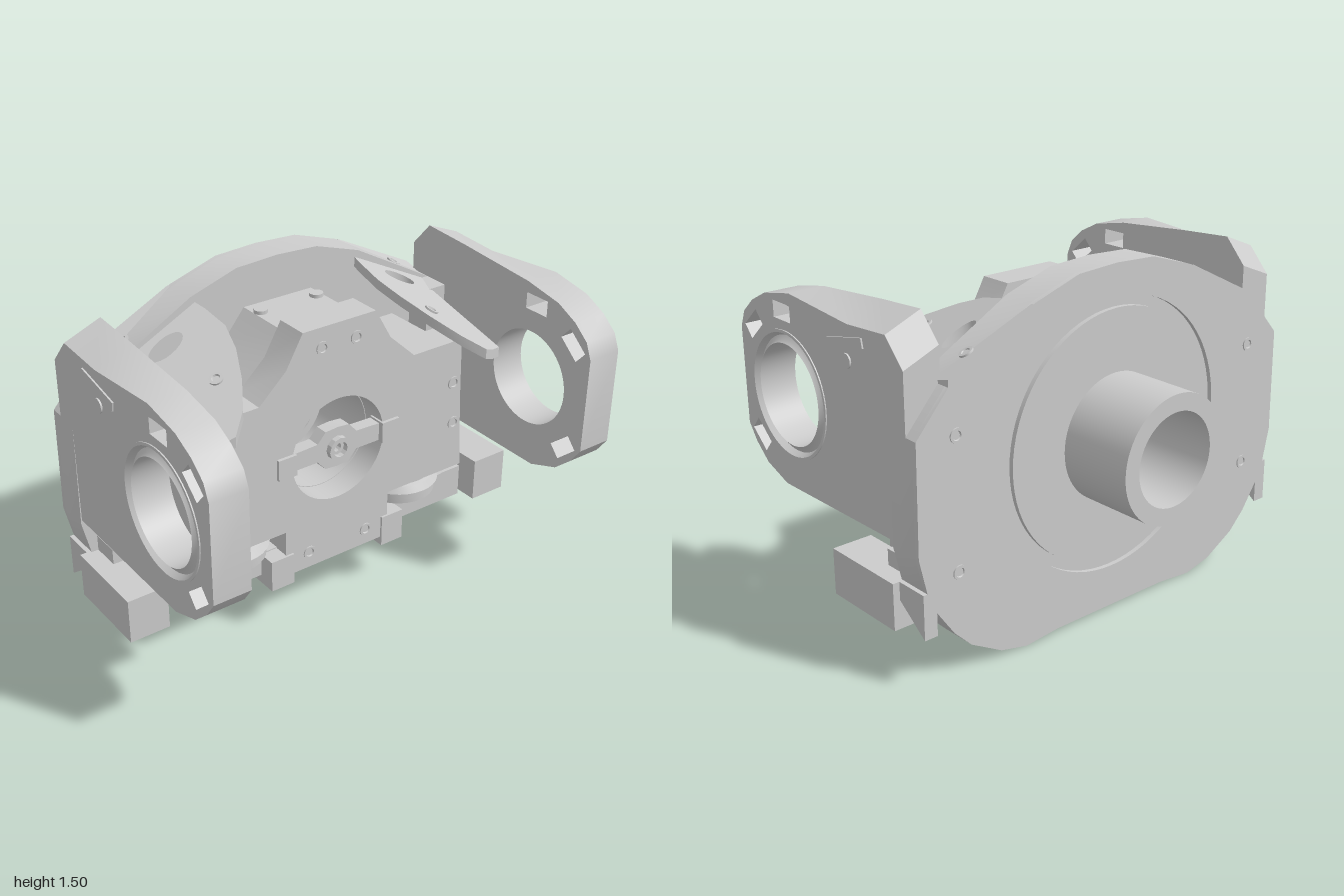
import * as THREE from 'three';
import { toCreasedNormals } from 'three/addons/utils/BufferGeometryUtils.js';

const material = new THREE.MeshStandardMaterial({ color: 0xcccccc });
const V = (pts) => pts.map(([x, y]) => new THREE.Vector2(x, y));
const circle = (cx, cy, r, n = 48) =>
  Array.from({ length: n }, (_, i) => {
    const a = (i / n) * Math.PI * 2;
    return [cx + r * Math.cos(a), cy + r * Math.sin(a)];
  });
const rect = (cx, cy, w, h, turn = 0) =>
  [[-1, -1], [1, -1], [1, 1], [-1, 1]].map(([i, j]) => {
    const u = (i * w) / 2, v = (j * h) / 2, c = Math.cos(turn), s = Math.sin(turn);
    return [cx + u * c - v * s, cy + u * s + v * c];
  });
const mirrored = (half) => [...half, ...half.filter((p) => p[0] > 0).reverse().map(([x, y]) => [-x, y])];

// Extrusion of an outline with holes, from z0 to z1
function slab(outline, holes, z0, z1) {
  const shape = new THREE.Shape(V(outline));
  shape.holes = holes.map((h) => new THREE.Path(V(h)));
  return new THREE.ExtrudeGeometry(shape, { depth: z1 - z0, bevelEnabled: false }).translate(0, 0, z0);
}
function box(x0, x1, y0, y1, z0, z1) {
  return new THREE.BoxGeometry(x1 - x0, y1 - y0, z1 - z0).translate((x0 + x1) / 2, (y0 + y1) / 2, (z0 + z1) / 2);
}
const lathe = (pts, n = 64) => new THREE.LatheGeometry(V(pts), n);

export function createModel() {
  const model = new THREE.Group();
  const add = (name, geometry, parent = model) => {
    const mesh = new THREE.Mesh(toCreasedNormals(geometry, 0.5), material);
    mesh.name = name;
    parent.add(mesh);
    return mesh;
  };
  // Recessed-looking screw: a thin collar with a sunken head, facing +z or -z
  const screw = (name, x, y, z, dir = 1, r = 0.03) => {
    const g = lathe([[r, -0.02], [r, 0.006], [r * 0.65, 0.006], [r * 0.5, -0.004], [0, -0.004]], 20);
    add(name, g.rotateX((dir * Math.PI) / 2).translate(x, y, z));
  };

  // Back plate, with a shallow ring groove on its rear face
  const plateOutline = mirrored([
    [0, 1.5], [0.2, 1.49], [0.42, 1.42], [0.82, 1.2], [0.98, 1.02], [0.985, 0.56], [0.94, 0.36],
    [0.83, 0.2], [0.75, 0.12], [0.6, 0.035], [0.47, 0.005], [0.3, 0.02],
  ]);
  const cy = 0.785;
  add('backPlate', slab(plateOutline, [circle(0, cy, 0.2)], -0.4, -0.26));
  add('backPlateRim', slab(plateOutline, [circle(0, cy, 0.58, 72)], -0.42, -0.4));
  add('backPlateDisc', slab(circle(0, cy, 0.535, 72), [circle(0, cy, 0.2)], -0.42, -0.4));

  // Rear tube, open through to the front
  add('rearTube', lathe([[0.27, -0.755], [0.27, -0.27], [0.197, -0.27], [0.197, -0.755], [0.27, -0.755]])
    .rotateX(Math.PI / 2).translate(0, cy, 0));

  // Central housing and front plate, both bored
  add('housing', slab(mirrored([
    [0, 1.31], [0.17, 1.31], [0.26, 1.2], [0.4, 1.07], [0.62, 1.07], [0.64, 0.49], [0.27, 0.47], [0.27, 0.27], [0, 0.27],
  ]), [circle(0, cy, 0.232)], -0.27, 0.05));
  add('frontPlate', slab(mirrored([
    [0, 1.36], [0.18, 1.36], [0.26, 1.22], [0.39, 1.1], [0.655, 1.1], [0.665, 0.8], [0.685, 0.47],
    [0.27, 0.47], [0.27, 0.25], [0, 0.25],
  ]), [circle(0, cy, 0.235)], 0.02, 0.17));

  // Cross bar in the front bore
  add('crossBar', slab(mirrored([
    [0, 0.88], [0.06, 0.875], [0.1, 0.83], [0.25, 0.825], [0.25, 0.745], [0.1, 0.745], [0.06, 0.7], [0, 0.695],
  ]), [circle(0, cy, 0.02, 12)], 0.1, 0.16));
  add('crossBarBoss', lathe([[0.055, 0], [0.055, 0.03], [0.035, 0.03], [0.035, 0], [0.055, 0]], 12)
    .rotateX(Math.PI / 2).translate(0, cy, 0.155));

  for (const s of [1, -1]) {
    const side = s > 0 ? 'left' : 'right';
    const sx = (pts) => pts.map(([x, y]) => [s * x, y]);
    const sideBox = (name, x0, x1, ...rest) =>
      add(name, s > 0 ? box(x0, x1, ...rest) : box(-x1, -x0, ...rest));

    add(side + 'CrossBarEnd', slab(sx([[0.22, 0.74], [0.31, 0.74], [0.31, 0.835], [0.22, 0.835]]), [], 0.1, 0.185));

    // Screws of the front plate, housing top and back plate
    for (const [x, y] of [[0.62, 0.9], [0.63, 0.7], [0.085, 1.27], [0.15, 0.325]])
      screw(side + 'FrontScrew', s * x, y, 0.17);
    for (const y of [1.0, 0.45]) screw(side + 'RearScrew', s * 0.8, y, -0.42, -1);
    add(side + 'HousingPin', new THREE.CylinderGeometry(0.03, 0.03, 0.03, 20).translate(s * 0.14, 1.31, -0.18));

    // Side arm: drawn in (z, y), turned to face sideways
    const arm = slab([
      [0.75, 1.18], [0.72, 1.25], [0.65, 1.31], [0.55, 1.36], [0.37, 1.395], [-0.02, 1.395], [-0.26, 1.41],
      [-0.36, 1.3], [-0.36, 0.7], [-0.33, 0.7], [-0.33, 0.58], [0.48, 0.57], [0.62, 0.62], [0.7, 0.69], [0.75, 0.76],
    ], [
      circle(0.415, 0.97, 0.265), rect(0.43, 1.31, 0.12, 0.07),
      rect(0.65, 1.21, 0.12, 0.07, -0.72), rect(0.65, 0.735, 0.12, 0.07, 0.72),
    ], 0, 0.16).rotateY(-Math.PI / 2).translate(s > 0 ? 0.98 : -0.82, 0, 0);
    // The rear top edge rises towards the inside
    const p = arm.attributes.position;
    for (let i = 0; i < p.count; i++)
      if (p.getY(i) > 1.25 && p.getZ(i) < 0)
        p.setY(i, p.getY(i) + (0.9 - Math.abs(p.getX(i))) * 0.4);
    arm.computeVertexNormals();
    add(side + 'Arm', arm);
    add(side + 'ArmRing', lathe([
      [0.267, 0], [0.267, 0.165], [0.255, 0.165], [0.24, 0.14], [0.222, 0.15], [0.212, 0.162], [0.212, 0], [0.267, 0],
    ]).rotateZ((-s * Math.PI) / 2).translate(s * 0.82, 0.97, 0.415));
    add(side + 'ArmPin', new THREE.CylinderGeometry(0.03, 0.03, 0.02, 20)
      .rotateZ(Math.PI / 2).translate(s * 0.977, 1.22, -0.01));
    add(side + 'ArmRib', new THREE.BoxGeometry(0.02, 0.04, 0.235).rotateX(0.2).translate(s * 0.977, 1.29, -0.005));
    sideBox(side + 'ArmBlock', 0.72, 0.83, 0.93, 1.2, -0.36, -0.14);

    // Sloping leaf panel: drawn in (x, -z), then tilted by a rule
    const leaf = slab(sx([
      [0.43, 0.42], [0.39, 0.2], [0.38, 0.07], [0.41, -0.05], [0.47, -0.18], [0.54, -0.29], [0.62, -0.36],
      [0.67, -0.345], [0.75, -0.3], [0.75, 0.14], [0.83, 0.14], [0.83, 0.42],
    ]), [circle(0, 0, 0.045, 20).map(([x, y]) => [s * (0.59 + x * 1.7), 0.18 + y])], 0, 0.045)
      .rotateX(-Math.PI / 2);
    const q = leaf.attributes.position;
    for (let i = 0; i < q.count; i++)
      q.setY(i, q.getY(i) + 1.375 - 0.5 * (Math.abs(q.getX(i)) - 0.43) - 0.24 * (q.getZ(i) + 0.43));
    leaf.computeVertexNormals();
    add(side + 'LeafPanel', leaf);
    for (const [x, z] of [[0.69, -0.35], [0.535, 0.1]])
      add(side + 'LeafScrew', lathe([[0.03, -0.02], [0.03, 0.008], [0.018, 0.008], [0.014, -0.002], [0, -0.002]], 20)
        .rotateZ(-s * 0.46).rotateX(0.23)
        .translate(s * x, 1.42 - 0.5 * (x - 0.43) - 0.24 * (z + 0.43), z));

    // Lower bracket: cross bar, inner foot and forward-reaching outer foot
    add(side + 'LowerBar', slab(sx([
      [0.25, 0.25], [0.75, 0.25], [0.75, 0.4], [0.65, 0.4], [0.35, 0.36], [0.25, 0.36],
    ]), [], -0.27, 0.1));
    sideBox(side + 'InnerFoot', 0.235, 0.35, 0.21, 0.355, -0.1, 0.18);
    sideBox(side + 'OuterFootBase', 0.74, 1.0, 0.21, 0.41, -0.27, -0.14);
    sideBox(side + 'OuterFoot', 0.82, 1.0, 0.21, 0.41, -0.2, 0.13);
    add(side + 'OuterFootWeb', slab([[-0.26, 0.41], [-0.42, 0.41], [-0.42, 0.22], [-0.26, 0.34]], [], 0, 0.06)
      .rotateY(-Math.PI / 2).translate(s > 0 ? 0.97 : -0.91, 0, 0));

    // Drum under the front plate notch
    add(side + 'Drum', lathe([
      [0, 0.36], [0.17, 0.36], [0.17, 0.41], [0.185, 0.415], [0.165, 0.445], [0.15, 0.45], [0.15, 0.475], [0, 0.475],
    ], 32).translate(s * 0.46, 0, 0));

    // Mounting pads on the back plate
    add(side + 'LowerPad', slab(rect(s * 0.39, 0.11, 0.16, 0.19), [circle(s * 0.39, 0.11, 0.02, 16)], -0.27, -0.25));
    add(side + 'SidePad', slab(rect(s * 0.835, 0.42, 0.17, 0.12), [circle(s * 0.835, 0.42, 0.02, 16)], -0.27, -0.13));
  }
  return model;
}
